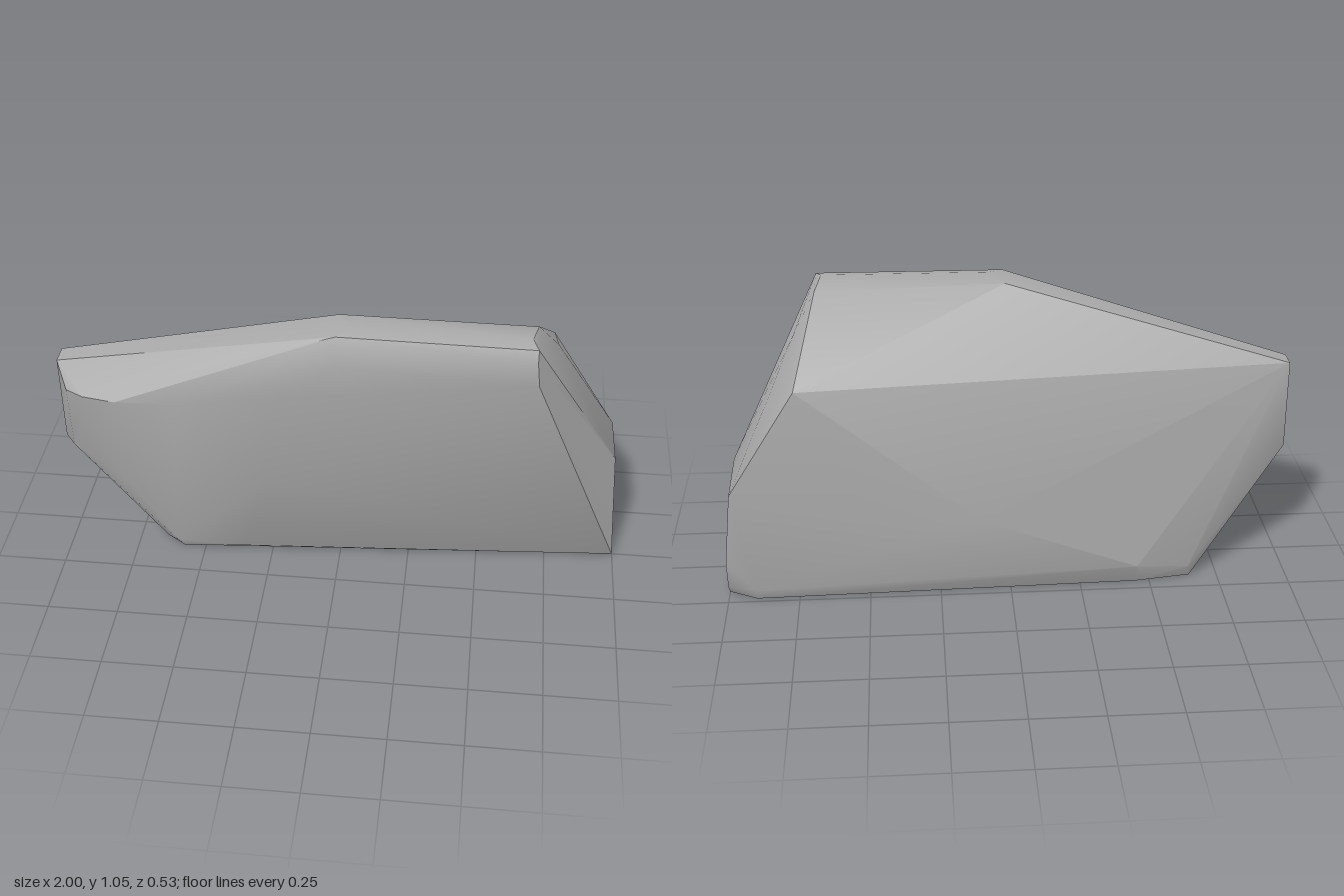
import * as THREE from 'three';
import { ConvexGeometry } from 'three/addons/geometries/ConvexGeometry.js';
import { toCreasedNormals } from 'three/addons/utils/BufferGeometryUtils.js';

// corners of the stone, grouped by region, as [x, y, z]
const topRim = [
  [0, 1.04, 0.1], [0, 1.04, 0.24], [0.05, 1.05, 0.19], [0.64, 1.05, 0.2],
  [0.66, 1.03, 0.09], [0.66, 1.04, 0.25],
];
const rightEnd = [
  [0.67, 0.91, 0.266], [0.735, 0.905, 0], [0.73, 0.8, -0.242], [0.97, 0.44, 0],
  [0.97, 0.42, -0.245], [1, 0, 0], [1, 0.15, -0.235], [1, 0.05, -0.222], [1, 0.005, -0.185],
];
const leftEnd = [
  [-1, 0.76, -0.015], [-1, 0.76, 0.06], [-1, 0.44, -0.02], [-1, 0.43, 0.05],
  [-0.95, 0.7, 0.15], [-0.95, 0.45, 0.13], [-0.88, 0.71, 0.2], [-0.85, 0.755, 0.15],
];
const frontFace = [
  [-0.76, 0.72, 0.235], [-0.55, 0.74, 0.255], [-0.2, 0.8, 0.265], [0, 0.94, 0.266],
  [-0.76, 0.32, 0.16], [-0.25, 0.4, 0.21], [0.66, 1, 0.266],
];
const backFace = [
  [0.1, 0.3, -0.265], [0.5, 0.3, -0.267], [-0.45, 0.08, -0.235],
  [-0.64, 0.05, -0.195], [0.9, 0.04, -0.245],
];
const base = [
  [-0.65, 0, -0.17], [-0.65, 0.005, 0.07], [-0.6, 0.03, 0.125], [-0.58, 0, 0.115],
  [-0.35, 0.02, 0.117], [-0.45, 0, -0.2], [0.9, 0, -0.23],
];

export function createModel() {
  const group = new THREE.Group();
  group.name = 'rock';
  const stoneGrey = new THREE.MeshStandardMaterial({ color: 0xaaaaaa });
  stoneGrey.name = 'stone grey';

  // one chipped convex slab, smooth over shallow angles
  const points = [topRim, rightEnd, leftEnd, frontFace, backFace, base]
    .flat().map((p) => new THREE.Vector3(...p));
  const slab = new THREE.Mesh(toCreasedNormals(new ConvexGeometry(points), 0.55), stoneGrey);
  slab.name = 'stoneSlab';
  group.add(slab);
  return group;
}
